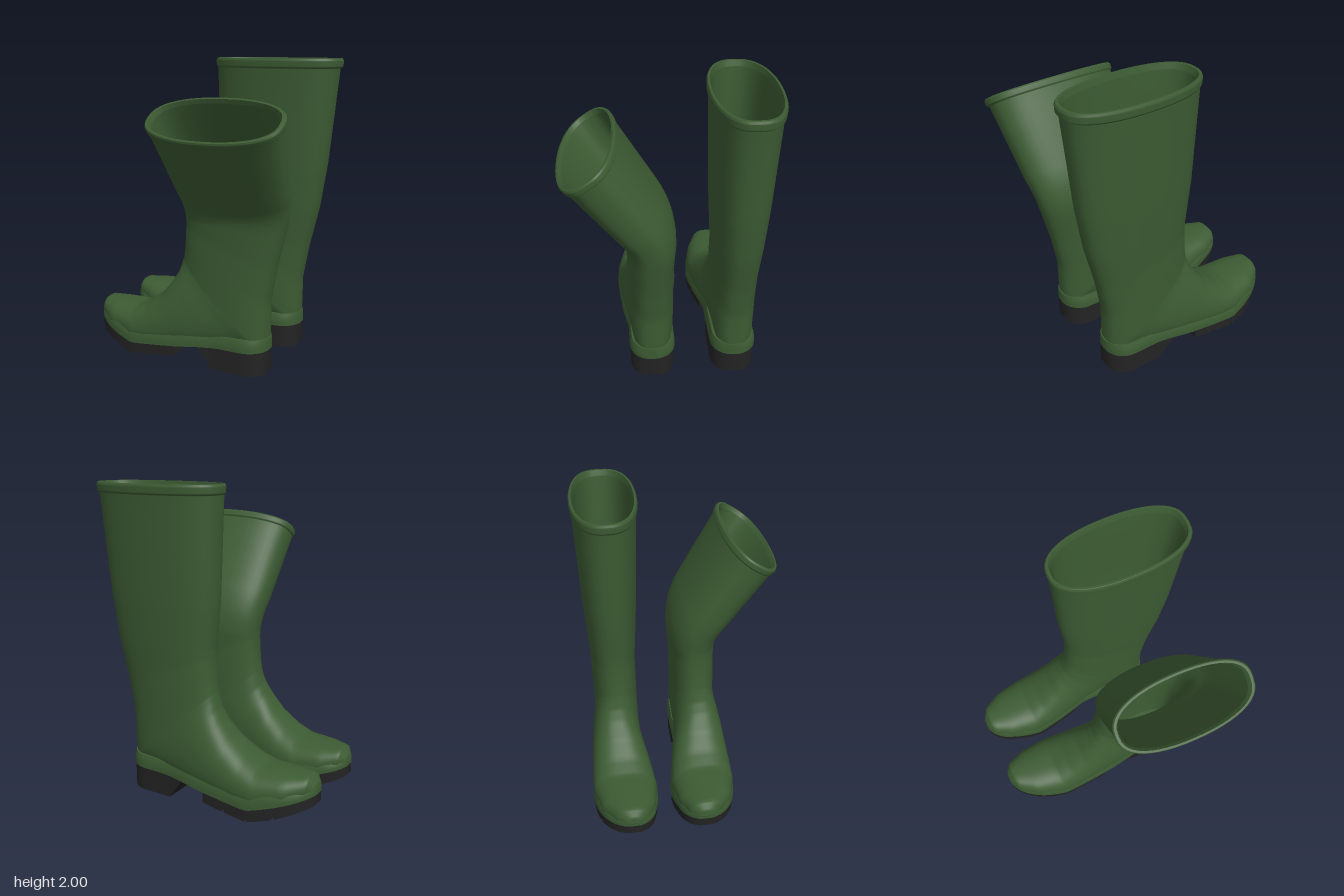
import * as THREE from 'three';
import { toCreasedNormals } from 'three/addons/utils/BufferGeometryUtils.js';

const green = new THREE.MeshStandardMaterial({ color: 0x3c5b33 });
green.name = 'rubber green';
const black = new THREE.MeshStandardMaterial({ color: 0x232324 });
black.name = 'sole black';

const { lerp, clamp, smoothstep } = THREE.MathUtils;
const SIDES = 48;

// Reads column c of a table whose first column is x
function read(table, x, c = 1) {
  const last = table.length - 1;
  let i = 1;
  while (i < last && table[i][0] < x) i++;
  const a = table[i - 1], b = table[i];
  return lerp(a[c], b[c], clamp((x - a[0]) / (b[0] - a[0]), 0, 1));
}

// Footprint: x, half width, sideways shift; toe and heel are rounded off by rule
const footprint = [[-.77, .2, .04], [-.6, .2, .02], [-.4, .22, .01], [-.2, .2, -.002],
  [0, .168, -.018], [.2, .155, 0], [.545, .152, 0]];
function halfWidth(x) {
  const toe = clamp((-.45 - x) / .325, 0, 1), heel = clamp((x - .38) / .167, 0, 1);
  return read(footprint, x) * Math.sqrt((1 - toe ** 2.2) * (1 - heel ** 2.5));
}
const shift = (x) => read(footprint, x, 2);

// Foot sections fan round from toe to ankle: front x, y, back x, y
const foot = [
  [-.772, .225, -.772, .22], [-.765, .265, -.762, .19], [-.73, .308, -.72, .18],
  [-.6, .312, -.62, .145], [-.43, .317, -.42, .092], [-.33, .365, -.28, .095],
  [-.22, .45, -.12, .112], [-.14, .55, .06, .135], [-.1, .62, .25, .15],
  [-.083, .68, .42, .155], [-.074, .72, .53, .165], [-.064, .79, .537, .26],
  [-.058, .87, .538, .48], [-.056, .95, .58, .72]
].map(([fx, fy, bx, by]) => {
  const mid = (fx + bx) / 2;
  return { fx, fy, bx, by, w: halfWidth(mid) * .98, dz: shift(mid), foot: 1 - smoothstep(mid, -.1, .2) };
});
// Level ring of the shaft
const level = ([y, fx, bx, w]) => ({ fx, fy: y, bx, by: y, w, dz: 0, foot: 0 });
const lip = level([2, -.098, .745, .194]);
const shaft = [[1, -.057, .645, .163], [1.3, -.085, .69, .18], [1.935, -.11, .75, .203],
  [1.947, -.12, .767, .212], [1.985, -.122, .77, .214], [2, -.115, .762, .208]].map(level);
const outer = [...foot, ...shaft, lip];
// Lining, from the rim down to the insole
const floor = level([.22, .12, .52, .1]);
const lining = [lip, ...[[1.96, -.085, .73, .186], [1.3, -.06, .665, .163], [1, -.02, .6, .14],
  [.7, 0, .54, .13], [.4, .07, .52, .115]].map(level), floor];
const insole = [floor, level([.22, .319, .321, .001])];

// Folds the shaft sideways above the ankle
function bendPoint(p) {
  const s = (p.y - .98) * .78;
  if (s <= 0) return;
  const arc = .22, full = .585, R = arc / full;
  const a = Math.min(s / arc, 1) * full, rest = Math.max(s - arc, 0);
  const z = p.z;
  p.y = .98 + R * Math.sin(a) + rest * Math.cos(a) - z * Math.sin(a);
  p.z = R * (1 - Math.cos(a)) + rest * Math.sin(a) + z * Math.cos(a);
}

// Skin through squarish oval sections
function loft(sections, side, bent, sub = 5) {
  const rows = [];
  sections.forEach((s, i) => {
    const next = sections[i + 1] || s, steps = next === s ? 1 : sub;
    for (let k = 0; k < steps; k++) {
      const row = {};
      for (const key in s) row[key] = lerp(s[key], next[key], k / steps);
      rows.push(row);
    }
  });
  const pos = [], index = [], p = new THREE.Vector3();
  rows.forEach((r, i) => {
    // The foot is widest low down and squarer underneath
    const k = lerp(.5, .38, r.foot), square = lerp(.75, .45, r.foot);
    for (let j = 0; j < SIDES; j++) {
      const t = j / SIDES * Math.PI * 2, c = Math.cos(t), s = Math.sin(t);
      const u = k + Math.sign(c) * Math.abs(c) ** .92 * (c > 0 ? 1 - k : k);
      const z = r.w * Math.sign(s) * Math.abs(s) ** (c > 0 ? .8 : square);
      p.set(lerp(r.bx, r.fx, u), lerp(r.by, r.fy, u), z + r.dz * side);
      if (bent) bendPoint(p);
      pos.push(p.x, p.y, p.z);
      if (i === rows.length - 1) continue;
      const a = i * SIDES + j, b = i * SIDES + (j + 1) % SIDES;
      index.push(a, b, b + SIDES, a, b + SIDES, a + SIDES);
    }
  });
  const g = new THREE.BufferGeometry();
  g.setAttribute('position', new THREE.Float32BufferAttribute(pos, 3));
  g.setIndex(index);
  g.computeVertexNormals();
  return g;
}

// Line where the rubber meets the sole, and the underside of the front sole
const seam = [[-.77, .195], [-.6, .143], [-.4, .088], [-.07, .122], [.08, .142], [.25, .155], [.545, .16]];
const tread = [[-.77, .13], [-.57, .055], [-.4, .01], [-.08, .05]];

// Slab following the footprint; yOf, inset and xOf depend on the height share v
function slab(x0, x1, side, yOf, inset, xOf = (x) => x) {
  const g = new THREE.BoxGeometry(1, 1, 1, 40, 3, 1);
  const p = g.attributes.position;
  for (let i = 0; i < p.count; i++) {
    const u = .5 - .5 * Math.cos((p.getX(i) + .5) * Math.PI), v = p.getY(i) + .5;
    const x = xOf(lerp(x0, x1, u), v);
    const w = halfWidth(x) - inset(v);
    p.setXYZ(i, x, yOf(x, v), side * shift(x) + Math.sign(p.getZ(i)) * w);
  }
  return toCreasedNormals(g, .6);
}

function makeBoot(name, side, bent) {
  const boot = new THREE.Group();
  boot.name = name;
  const add = (part, geo, mat) => {
    const m = new THREE.Mesh(geo, mat);
    m.name = part;
    boot.add(m);
  };
  add('upper', loft(outer, side, bent), green);
  add('lining', loft(lining, side, bent), green);
  add('insole', loft(insole, side, bent, 1), black);
  // Welt band around the foot
  add('welt', slab(-.77, .545, side, (x, v) => read(seam, x) + v * lerp(.05, .085, smoothstep(x, -.75, -.5)),
    (v) => v > .9 ? .014 : v > .6 ? .003 : 0), green);
  // Front sole with cross-cut tread blocks
  const soleInset = () => .006;
  add('frontSole', slab(-.765, -.08, side,
    (x, v) => lerp(read(tread, x) + .016, read(seam, x) + .01, v), soleInset), black);
  for (const [a, b] of [[-.765, -.572], [-.55, -.405], [-.39, -.24], [-.222, -.08]]) {
    add('treadBlock', slab(a, b, side, (x, v) => read(tread, x) + v * .03, () => .007), black);
  }
  // Heel block with a slanted breast
  add('heelBlock', slab(0, 1, side, (x, v) => v * (read(seam, x) + .01), soleInset,
    (u, v) => lerp(lerp(.2, .08, v), .533, u)), black);
  return boot;
}

export function createModel() {
  const model = new THREE.Group();
  model.name = 'rubberBoots';
  const upright = makeBoot('uprightBoot', 1, false);
  upright.position.z = -.45;
  const folded = makeBoot('foldedBoot', -1, true);
  folded.position.z = .1;
  model.add(upright, folded);
  return model;
}
